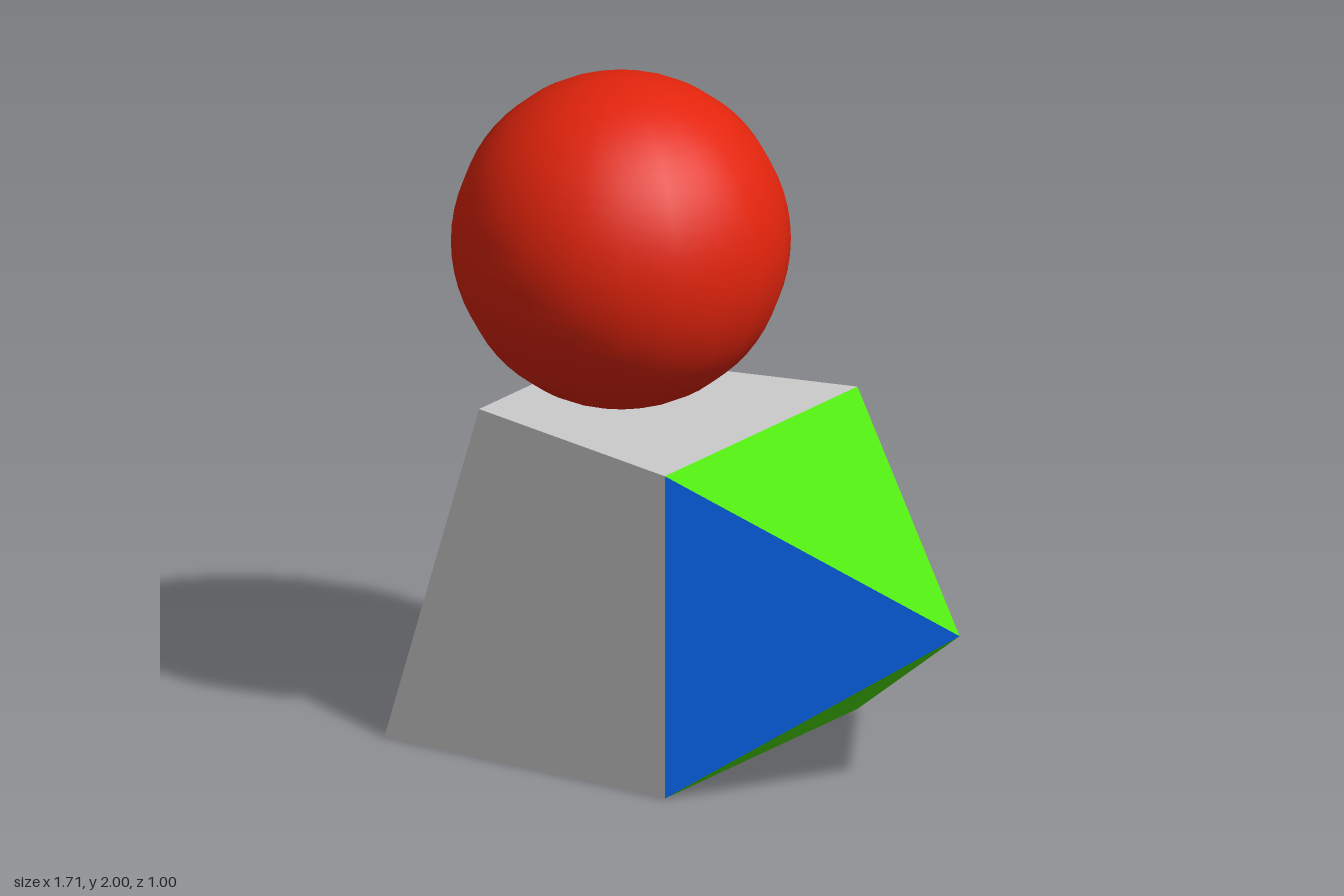
import * as THREE from 'three';

const LEFT = -0.854, RIGHT = 0.146, HALF = 0.5;

function makeMesh(name, geometry, color) {
  const mesh = new THREE.Mesh(geometry, new THREE.MeshStandardMaterial({ color }));
  mesh.name = name;
  return mesh;
}

// Flat-shaded faces from corner loops (counter-clockwise from outside), one normal per face
function facesGeometry(faces) {
  const positions = [], normals = [];
  for (const face of faces) {
    const p = face.map((c) => new THREE.Vector3(...c));
    // Quads use their two diagonals, triangles two of their edges
    const end = p.length === 4 ? p[3] : p[0];
    const start = p.length === 4 ? p[0] : p[1];
    const normal = p[2].clone().sub(start).cross(end.clone().sub(p[1])).normalize();
    for (let i = 1; i < p.length - 1; i++) {
      for (const v of [p[0], p[i], p[i + 1]]) {
        positions.push(...v.toArray());
        normals.push(...normal.toArray());
      }
    }
  }
  const geometry = new THREE.BufferGeometry();
  geometry.setAttribute('position', new THREE.Float32BufferAttribute(positions, 3));
  geometry.setAttribute('normal', new THREE.Float32BufferAttribute(normals, 3));
  return geometry;
}

export function createModel() {
  const model = new THREE.Group();
  model.name = 'solids';

  // Block: unit cube whose top edge on the -x side is pulled inwards
  const bottom = [[LEFT, 0, HALF], [RIGHT, 0, HALF], [RIGHT, 0, -HALF], [LEFT, 0, -HALF]];
  const top = [[LEFT + 0.2, 1, 0.3], [RIGHT, 1, HALF], [RIGHT, 1, -HALF], [LEFT + 0.2, 1, -0.3]];
  const block = facesGeometry([
    [bottom[0], bottom[1], top[1], top[0]], // front
    [bottom[1], bottom[2], top[2], top[1]], // +x side
    [bottom[3], top[3], top[2], bottom[2]], // back
    [bottom[3], bottom[0], top[0], top[3]], // -x side
    top,
    [...bottom].reverse(),
  ]);
  model.add(makeMesh('block', block, 0xcccccc));

  // Sideways pyramid on the +x side: blue front and back, green top and bottom
  const pyramid = new THREE.Group();
  pyramid.name = 'pyramid';
  const apex = [LEFT + 1.708, 0.5, 0];
  const [b1, b2, t1, t2] = [bottom[1], bottom[2], top[1], top[2]];
  pyramid.add(
    makeMesh('pyramidFrontAndBack', facesGeometry([[b1, apex, t1], [t2, apex, b2]]), 0x0863e9),
    makeMesh('pyramidTopAndBottom', facesGeometry([[t1, apex, t2], [b2, apex, b1]]), 0x4ee508),
  );
  model.add(pyramid);

  // Ball resting on the block
  const ball = makeMesh('ball', new THREE.SphereGeometry(HALF, 20, 32), 0xe2240c);
  ball.position.set(LEFT + HALF, 1.5, 0);
  model.add(ball);

  return model;
}
